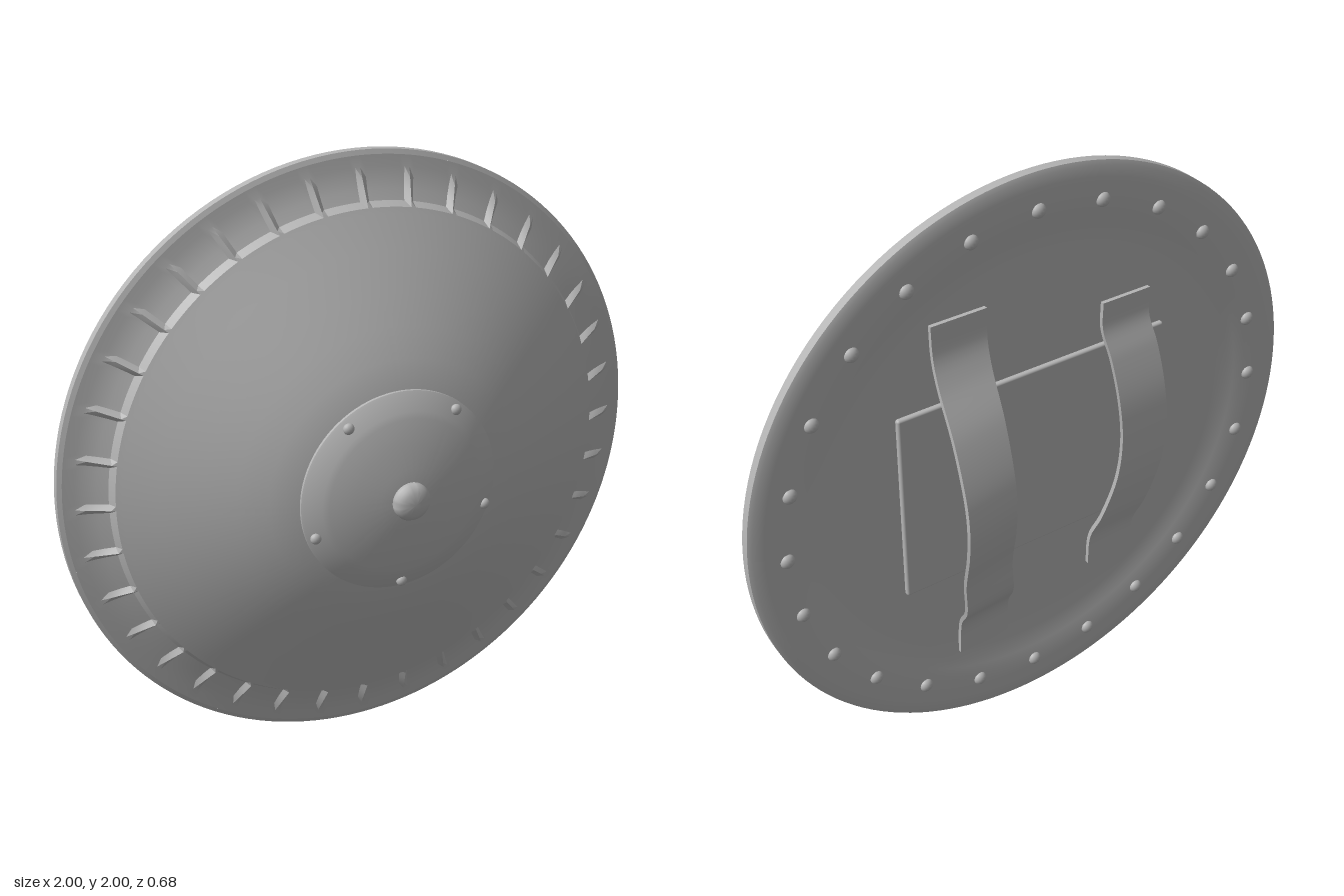
import * as THREE from 'three';
import { toCreasedNormals } from 'three/addons/utils/BufferGeometryUtils.js';
import { RoundedBoxGeometry } from 'three/addons/geometries/RoundedBoxGeometry.js';

const steel = new THREE.MeshStandardMaterial({ color: 0xb4b4b4 });
steel.name = 'steel grey';

const FLUTES = 36, STEPS = 10;

function part(name, geometry, parent) {
  const mesh = new THREE.Mesh(geometry, steel);
  mesh.name = name;
  parent.add(mesh);
  return mesh;
}

// Turned part around z; profile is [radius, z] from back to front
function turned(profile, segments, crease = 0.5) {
  const geo = new THREE.LatheGeometry(profile.map(p => new THREE.Vector2(...p)), segments);
  geo.rotateX(Math.PI / 2);
  return toCreasedNormals(geo, crease);
}

// Front cone with a ring of recessed flutes near the rim
function flutedFront() {
  const profile = [
    [0.985, 0.022], [0.95, 0.027], [0.92, 0.043], [0.885, 0.061], [0.852, 0.078],
    [0.838, 0.085], [0.82, 0.093], [0.72, 0.143], [0.6, 0.2], [0.51, 0.242],
    [0.42, 0.28], [0.335, 0.308], [0.25, 0.32],
  ];
  const depth = [0, 0, 0.01, 0.017, 0.02];
  const geo = new THREE.LatheGeometry(profile.map(p => new THREE.Vector2(...p)), FLUTES * STEPS);
  const pos = geo.attributes.position;
  for (let i = 0; i < pos.count; i++) {
    const row = i % profile.length;
    const step = Math.floor(i / profile.length) % STEPS;
    if (step !== 0) pos.setY(i, pos.getY(i) - (depth[row] || 0));
  }
  geo.rotateX(Math.PI / 2);
  return toCreasedNormals(geo, 0.45);
}

// Flat band swept along a path from top to bottom, with a twist at its middle
function strap(points, width, thickness, twist) {
  const curve = new THREE.CatmullRomCurve3(points.map(p => new THREE.Vector3(...p)), false, 'centripetal');
  const n = 60, pos = [], index = [];
  for (let i = 0; i <= n; i++) {
    const t = i / n, c = curve.getPointAt(t), tan = curve.getTangentAt(t);
    const w = new THREE.Vector3(1, 0, -twist * Math.sin(Math.PI * t)).normalize();
    const nrm = tan.clone().cross(w).normalize();
    for (const [a, b] of [[1, 1], [-1, 1], [-1, -1], [1, -1]]) {
      const v = c.clone().addScaledVector(w, a * width / 2).addScaledVector(nrm, b * thickness / 2);
      pos.push(v.x, v.y, v.z);
    }
  }
  for (let i = 0; i < n; i++) {
    for (let k = 0; k < 4; k++) {
      const a = i * 4 + k, b = i * 4 + (k + 1) % 4;
      index.push(a, b, b + 4, a, b + 4, a + 4);
    }
  }
  const e = n * 4;
  index.push(0, 3, 2, 0, 2, 1, e, e + 1, e + 2, e, e + 2, e + 3);
  const geo = new THREE.BufferGeometry();
  geo.setAttribute('position', new THREE.Float32BufferAttribute(pos, 3));
  geo.setIndex(index);
  return toCreasedNormals(geo, 0.6);
}

// Ring of flattened rivet heads
function rivetRing(name, count, ring, z, radius, height, start, parent) {
  const group = new THREE.Group();
  group.name = name;
  const geo = new THREE.SphereGeometry(radius, 16, 10);
  geo.scale(1, 1, height / radius);
  for (let i = 0; i < count; i++) {
    const a = start + i * Math.PI * 2 / count;
    part('rivet', geo, group).position.set(ring * Math.cos(a), ring * Math.sin(a), z);
  }
  parent.add(group);
}

export function createModel() {
  const model = new THREE.Group();
  model.name = 'roundShield';

  // The whole shield is turned slightly about its upright axis
  const shield = new THREE.Group();
  shield.name = 'shield';
  shield.position.set(0, 1, -0.09);
  shield.rotation.y = 0.053;
  model.add(shield);

  // Body: fluted front, rim edge and back with a raised border
  part('frontFace', flutedFront(), shield);
  part('rimAndBack', turned([
    [0, -0.005], [0.4, -0.005], [0.74, -0.005], [0.79, -0.008], [0.82, -0.014], [0.86, -0.02],
    [0.9, -0.023], [0.95, -0.022], [0.985, -0.02], [1, -0.014], [1, 0.016], [0.985, 0.022],
  ], 144), shield);

  // Boss with a bevelled edge and a central knob
  part('boss', turned([
    [0.332, 0.295], [0.332, 0.318], [0.325, 0.323], [0.275, 0.35], [0.255, 0.357],
    [0.18, 0.374], [0.1, 0.387], [0.05, 0.392], [0, 0.393],
  ], 96), shield);
  part('knob', turned([
    [0.056, 0.38], [0.061, 0.392], [0.061, 0.405], [0.054, 0.418], [0.038, 0.427], [0.018, 0.431], [0, 0.432],
  ], 40, 0.8), shield);

  // Rivets on the boss and around the back border
  rivetRing('bossRivets', 5, 0.307, 0.335, 0.018, 0.014, -Math.PI / 2, shield);
  rivetRing('rimRivets', 24, 0.88, -0.02, 0.024, 0.018, 0, shield);

  // Backing pad behind the arm
  part('armPad', new RoundedBoxGeometry(0.98, 0.68, 0.024, 3, 0.008), shield).position.z = -0.008;

  // Hand grip and arm strap
  part('armStrap', strap([
    [0.277, 0.625, -0.02], [0.277, 0.52, -0.024], [0.28, 0.44, -0.052], [0.285, 0.285, -0.135],
    [0.288, 0.1, -0.197], [0.288, 0, -0.207], [0.28, -0.11, -0.188], [0.26, -0.27, -0.135],
    [0.232, -0.43, -0.095], [0.215, -0.52, -0.038], [0.21, -0.57, -0.022], [0.21, -0.68, -0.02],
  ], 0.19, 0.014, 0.15), shield);
  part('handGrip', strap([
    [-0.33, 0.495, -0.02], [-0.33, 0.4, -0.023], [-0.345, 0.3, -0.055], [-0.36, 0.15, -0.088],
    [-0.37, 0, -0.098], [-0.36, -0.15, -0.092], [-0.33, -0.32, -0.058], [-0.31, -0.42, -0.024],
    [-0.306, -0.54, -0.02],
  ], 0.18, 0.014, 0), shield);

  return model;
}
